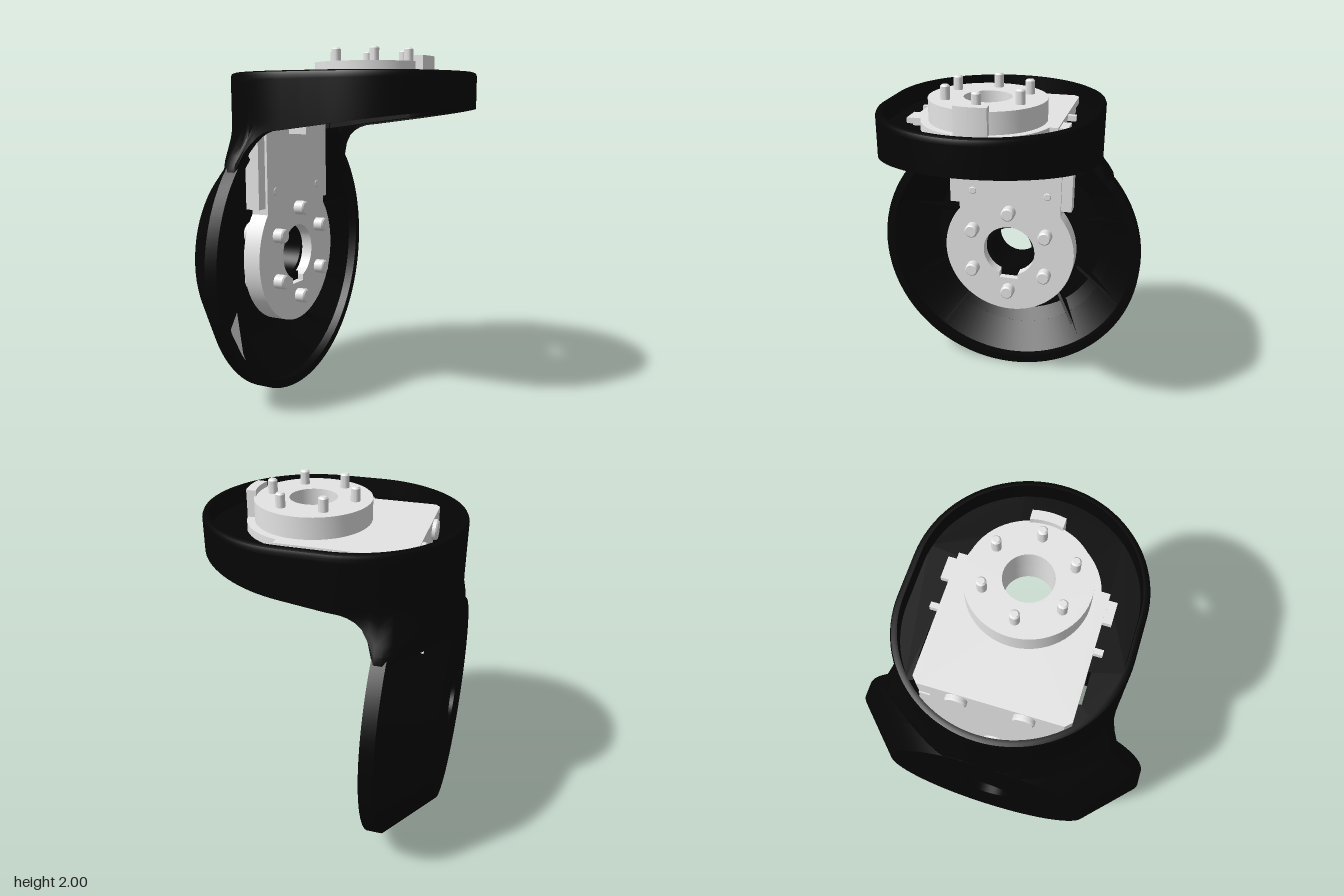
import * as THREE from 'three';
import { toCreasedNormals } from 'three/addons/utils/BufferGeometryUtils.js';

const black = new THREE.MeshStandardMaterial({ color: 0x050505, side: THREE.DoubleSide });
black.name = 'black plastic';
const grey = new THREE.MeshStandardMaterial({ color: 0xe5e5e5 });
grey.name = 'light grey metal';

const TOP = 1.87, HUB = 0.82, AX = 0.11; // shell top, dish centre height, turntable axis x
const FRONT = -0.365, WALL = 0.035;      // dish opening plane, shell wall thickness

export function createModel() {
  const group = new THREE.Group();
  const add = (name, geo, mat, x = 0, y = 0, z = 0) => {
    const m = new THREE.Mesh(geo, mat);
    m.name = name;
    m.position.set(x, y, z);
    group.add(m);
    return m;
  };
  const box = (name, mat, x0, x1, y0, y1, z0, z1) =>
    add(name, new THREE.BoxGeometry(x1 - x0, y1 - y0, z1 - z0), mat, (x0 + x1) / 2, (y0 + y1) / 2, (z0 + z1) / 2);
  // cylinders along x or y, with a small bevel on the far end
  const pin = (r, a, b) => {
    const c = 0.008 * Math.sign(b - a);
    const pts = [[0, a], [r, a], [r, b - c], [r - 0.008, b], [0, b]].map(p => new THREE.Vector2(...p));
    if (b < a) pts.reverse();
    return toCreasedNormals(new THREE.LatheGeometry(pts, 20), 0.6);
  };
  const pinX = (name, r, x0, x1, y, z) => add(name, pin(r, x0, x1).rotateZ(-Math.PI / 2), grey, 0, y, z);
  const pinY = (name, r, y0, y1, x, z) => add(name, pin(r, y0, y1), grey, x, 0, z);
  const flat = (shape, y0, y1) =>
    new THREE.ExtrudeGeometry(shape, { depth: y1 - y0, bevelEnabled: false, curveSegments: 32 })
      .rotateX(Math.PI / 2).translate(0, y1, 0);
  const circle = (x, y, r) => new THREE.Path().absarc(x, y, r, 0, Math.PI * 2);

  // ---- lower dish: chamfered back, outer band open under the neck, sleeve in the bore
  const dish = (name, pts, gap) => {
    const g = new THREE.LatheGeometry(pts.map(p => new THREE.Vector2(...p)), 72,
      Math.PI * 1.5 + gap, Math.PI * 2 - 2 * gap).rotateZ(-Math.PI / 2);
    add(name, toCreasedNormals(g, 0.4), black, 0, HUB, 0);
  };
  dish('dishBack', [[0.135, -0.65], [0.135, -0.7], [0.57, -0.7], [0.68, -0.586], [0.62, -0.58], [0.55, -0.65], [0.135, -0.65]], 0);
  dish('dishRim', [[0.62, -0.58], [0.68, -0.586], [0.82, -0.44], [0.82, FRONT], [0.77, FRONT], [0.77, -0.42], [0.62, -0.58]], 0.7);
  dish('boreSleeve', [[0.135, -0.66], [0.163, -0.66], [0.163, -0.44], [0.135, -0.44], [0.135, -0.66]], 0);
  box('sleeveKey', black, -0.66, -0.41, 0.635, 0.684, -0.057, 0.057);

  // triangular stiffening ribs inside the dish
  const ribShape = new THREE.Shape([[-0.64, 0.44], [-0.64, 0.56], [-0.43, 0.76], [-0.5, 0.68]].map(p => new THREE.Vector2(...p)));
  for (const a of [-2.5, -2, -1.25, 1.25, 2, 2.5]) {
    const g = new THREE.ExtrudeGeometry(ribShape, { depth: 0.02, bevelEnabled: false }).translate(0, 0, -0.01);
    add('dishRib', g, black, 0, HUB, 0).rotation.x = a;
  }

  // ---- neck and arm wall: stadium outline, sloping underside, flaring into the dish
  const outline = inset => {
    const pts = [], r = 0.58 - inset, H = Math.PI / 2;
    const arc = (cx, a0) => {
      for (let i = 0; i <= 48; i++) {
        const a = a0 + Math.PI * i / 48;
        pts.push([cx + r * Math.cos(a), r * Math.sin(a)]);
      }
    };
    arc(AX, -H);
    pts.push([0, r]);
    arc(-0.12, H);
    pts.push([0, -r]);
    return pts;
  };
  const slope = x => 1.57 + 0.131 * (x + 0.15);
  const bottom = x => x >= -0.15 ? slope(x) : x <= FRONT ? 1.35
    : 1.35 + 0.22 * Math.sqrt(1 - ((x + 0.15) / 0.215) ** 2);
  // scale that carries an outline point onto the dish section at the neck's foot
  const inDish = (x, z) => x > -0.7 && Math.hypot(0.53, z) < (x > -0.44 ? 0.82 : 0.57 + (x + 0.7) * 0.9615);
  const reach = ([x, z]) => {
    if (x > -0.15) return 1;
    let lo = 1, hi = 1.8;
    for (let i = 0; i < 20; i++) {
      const m = (lo + hi) / 2;
      if (inDish(x < FRONT ? FRONT + (x - FRONT) * m : x, z * m)) lo = m; else hi = m;
    }
    return lo;
  };
  const rows = [];
  for (let i = 0; i <= 12; i++) rows.push([i / 12, 0, 1.85]);
  rows.push([1, 0.006, 1.864], [1, 0.02, TOP], [1, WALL, TOP]);
  for (let i = 12; i >= 0; i--) rows.push([i / 12, WALL, 1.85]);
  const outer = outline(0), reaches = outer.map(reach), n = outer.length, pos = [], idx = [];
  rows.forEach(([t, inset, top], j) => {
    outline(inset).forEach(([x, z], i) => {
      const y0 = bottom(outer[i][0]), y = y0 + (top - y0) * t;
      const m = 1 + (reaches[i] - 1) * THREE.MathUtils.smoothstep(1.58 - y, 0, 0.23);
      pos.push(x < FRONT ? FRONT + (x - FRONT) * m : x, y, z * m);
      const k = (i + 1) % n, q = (j + 1) % rows.length;
      const a = j * n + i, b = j * n + k, c = q * n + i, d = q * n + k;
      idx.push(a, c, b, b, c, d);
    });
  });
  const wall = new THREE.BufferGeometry();
  wall.setAttribute('position', new THREE.Float32BufferAttribute(pos, 3));
  wall.setIndex(idx);
  add('neckAndArmWall', toCreasedNormals(wall, 0.6), black);

  // arm floor: surrounds the mounting plate, underside follows the slope
  const rim = outline(0.02).filter(p => p[0] > -0.49);
  const cut = rim.findIndex((p, i) => i > 0 && rim[i - 1][1] > 0 && p[1] < 0);
  const half = [[-0.48, 0.385], [FRONT, 0.385], [FRONT, 0.4], [-0.2, 0.4], [-0.2, 0.385], [0.2, 0.385]];
  const inner = [...half];
  for (let i = 0; i <= 24; i++) {
    const a = 1.31 - 2.62 * i / 24;
    inner.push([AX + 0.355 * Math.cos(a), 0.355 * Math.sin(a)]);
  }
  inner.push(...half.map(([x, z]) => [x, -z]).reverse());
  const floorPts = [...rim.slice(cut), ...rim.slice(0, cut), ...inner];
  const floor = flat(new THREE.Shape(floorPts.map(p => new THREE.Vector2(...p))), 1.6, 1.77);
  const fp = floor.attributes.position;
  for (let i = 0; i < fp.count; i++) if (fp.getY(i) < 1.7) fp.setY(i, slope(fp.getX(i)) + 0.008);
  add('armFloor', toCreasedNormals(floor, 0.4), black);

  // ---- mounting plate and turntable
  const plate = new THREE.Shape().moveTo(-0.47, -0.385).lineTo(0.2, -0.385).lineTo(0.2, -0.34)
    .absarc(AX, 0, 0.352, -1.31, 1.31).lineTo(0.2, 0.385).lineTo(-0.47, 0.385)
    .lineTo(-0.5, 0.355).lineTo(-0.5, -0.355).closePath();
  plate.holes.push(circle(AX, 0, 0.126));
  add('mountingPlate', toCreasedNormals(flat(plate, 1.7, 1.81), 0.4), grey);
  const table = new THREE.Shape().absarc(AX, 0, 0.31, 0, Math.PI * 2);
  table.holes.push(circle(AX, 0, 0.126));
  add('turntable', toCreasedNormals(flat(table, 1.81, 1.925), 0.4), grey);
  const stop = new THREE.Shape().absarc(AX, 0, 0.352, -0.245, 0.245).absarc(AX, 0, 0.3, 0.28, -0.28, true);
  add('turntableStop', toCreasedNormals(flat(stop, 1.8, 1.955), 0.4), grey);
  for (let i = 0; i < 6; i++) {
    const a = i * Math.PI / 3, x = AX + 0.225 * Math.cos(a), z = 0.225 * Math.sin(a);
    pinY('turntablePin', 0.025, 1.92, 2, x, z);
    pinY('plateScrewHead', 0.042, 1.705, 1.66, x, z);
  }
  for (const s of [-1, 1]) {
    box('sideLug', grey, 0.05, 0.17, 1.72, 1.8, s * 0.405 - 0.025, s * 0.405 + 0.025);
    box('smallSideLug', grey, -0.115, -0.085, 1.72, 1.8, s * 0.405 - 0.025, s * 0.405 + 0.025);
    pinX('edgeScrew', 0.055, -0.47, -0.527, 1.75, s * 0.165);
  }

  // ---- upright bracket inside the dish
  const up = new THREE.Shape().moveTo(0.32, 1.72).lineTo(-0.32, 1.72).lineTo(-0.32, HUB + 0.264)
    .absarc(0, HUB, 0.415, Math.PI - 0.69, Math.PI * 2 + 0.69).lineTo(0.32, 1.72);
  const bore = new THREE.Path().moveTo(0.06, 0.63).lineTo(0.06, HUB - 0.154)
    .absarc(0, HUB, 0.165, -1.198, Math.PI + 1.198).lineTo(-0.06, 0.63).closePath();
  up.holes.push(bore);
  const upright = new THREE.ExtrudeGeometry(up, { depth: 0.105, bevelEnabled: false, curveSegments: 40 })
    .rotateY(Math.PI / 2).translate(-0.48, 0, 0);
  add('uprightBracket', toCreasedNormals(upright, 0.4), grey);
  box('cornerBlock', grey, -0.385, -0.262, 1.53, 1.71, -0.08, 0.08);
  for (const s of [-1, 1]) {
    box('bracketFlange', grey, -0.475, -0.39, 1.12, 1.58, s * 0.35 - 0.035, s * 0.35 + 0.035);
    for (const y of [1.21, 1.585]) pinX('bracketRivet', 0.028, -0.39, -0.371, y, s * 0.235);
  }
  for (let i = 0; i < 6; i++) {
    const a = Math.PI / 6 + i * Math.PI / 3, y = HUB + 0.27 * Math.sin(a), z = 0.27 * Math.cos(a);
    pinX('bracketScrew', 0.042, -0.4, -0.312, y, z);
    pinX('bracketScrewHead', 0.07, -0.475, -0.56, y, z);
  }
  return group;
}
